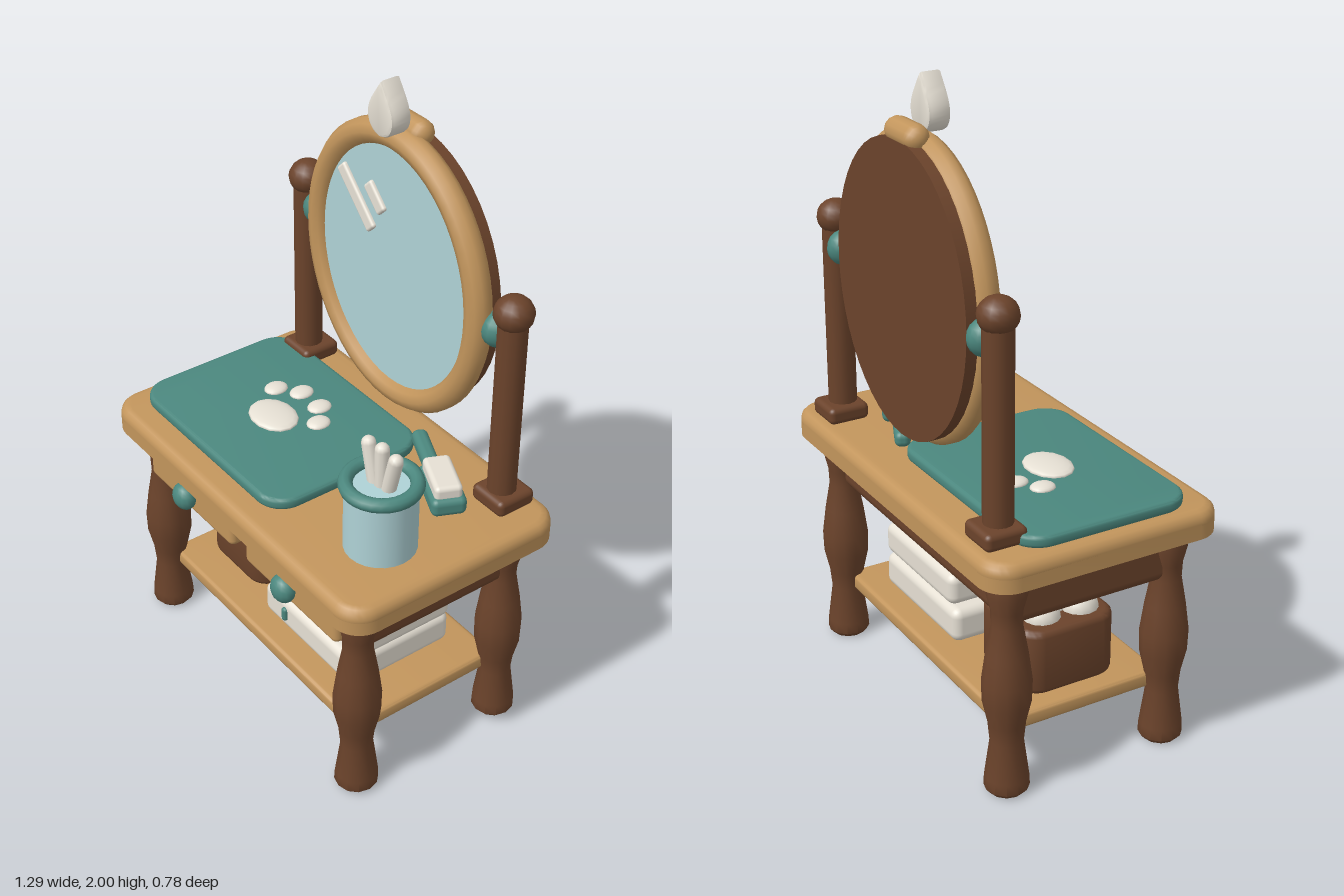
import * as THREE from 'three';
import { toCreasedNormals } from 'three/addons/utils/BufferGeometryUtils.js';
import { RoundedBoxGeometry } from 'three/addons/geometries/RoundedBoxGeometry.js';

const mat = (color) => new THREE.MeshStandardMaterial({ color });
const OAK = mat(0xc2955c), WALNUT = mat(0x6b432b), TEAL = mat(0x4b877e);
const CREAM = mat(0xe6e0d4), GLASS = mat(0xafd2d6);

export function createModel() {
  const root = new THREE.Group();
  root.name = 'vanityTable';

  const add = (name, geo, material, x = 0, y = 0, z = 0, parent = root) => {
    const mesh = new THREE.Mesh(geo, material);
    mesh.name = name;
    mesh.position.set(x, y, z);
    parent.add(mesh);
    return mesh;
  };
  const box = (w, h, d, r) => new RoundedBoxGeometry(w, h, d, 3, r);
  const ball = (rx, ry = rx, rz = rx) => new THREE.SphereGeometry(1, 14, 10).scale(rx, ry, rz);

  // Flat slab standing on y = 0 with rounded plan corners and an optional bevel
  const slab = (w, d, h, r, bevel = 0) => {
    const a = w / 2 - bevel, b = d / 2 - bevel, q = Math.max(r - bevel, 0.005);
    const s = new THREE.Shape();
    s.absarc(a - q, b - q, q, 0, Math.PI / 2);
    s.absarc(q - a, b - q, q, Math.PI / 2, Math.PI);
    s.absarc(q - a, q - b, q, Math.PI, Math.PI * 1.5);
    s.absarc(a - q, q - b, q, Math.PI * 1.5, Math.PI * 2);
    s.closePath();
    const geo = new THREE.ExtrudeGeometry(s, {
      depth: h - 2 * bevel, bevelEnabled: bevel > 0, bevelSize: bevel,
      bevelThickness: bevel, bevelSegments: 3, curveSegments: 6,
    });
    geo.translate(0, 0, bevel).rotateX(-Math.PI / 2);
    return toCreasedNormals(geo, 0.7);
  };

  // Tabletop: square lower edge, rounded upper edge
  add('tabletopLower', slab(1.29, 0.775, 0.05, 0.09), OAK, 0, 0.72);
  add('tabletopUpper', slab(1.29, 0.775, 0.07, 0.09, 0.03), OAK, 0, 0.735);

  // Apron and two drawers
  add('apron', box(1.1, 0.18, 0.57, 0.035), WALNUT, 0, 0.64, 0);
  for (const s of [-1, 1]) {
    add('drawerFront', box(0.465, 0.13, 0.07, 0.02), OAK, s * 0.267, 0.64, 0.303);
    add('drawerKnob', ball(0.045, 0.045, 0.035), TEAL, s * 0.267, 0.64, 0.357);
  }

  // Turned legs
  const legProfile = [[0, 0], [0.055, 0], [0.068, 0.015], [0.066, 0.05], [0.05, 0.17],
    [0.056, 0.23], [0.072, 0.3], [0.074, 0.37], [0.062, 0.46], [0.046, 0.55],
    [0.048, 0.6], [0.06, 0.65], [0.056, 0.7], [0.05, 0.73], [0, 0.73]]
    .map(([r, y]) => new THREE.Vector2(r, y));
  const legGeo = toCreasedNormals(new THREE.LatheGeometry(legProfile, 12), 0.8);
  for (const x of [-0.52, 0.52]) for (const z of [-0.272, 0.272]) add('leg', legGeo, WALNUT, x, 0, z);

  // Lower shelf
  add('shelf', slab(1.02, 0.54, 0.05, 0.04, 0.012), OAK, 0, 0.175);

  // Basket with round puffs
  add('basket', slab(0.31, 0.32, 0.21, 0.07, 0.02), WALNUT, -0.3, 0.223, 0);
  for (const [x, z, r] of [[-0.365, 0.07, 0.06], [-0.25, 0.07, 0.055], [-0.36, -0.06, 0.06],
    [-0.25, -0.06, 0.055], [-0.305, 0, 0.065]]) {
    add('puff', ball(r), CREAM, x, 0.43, z);
  }

  // Stacked boxes with small tags
  add('lowerBox', box(0.465, 0.115, 0.39, 0.03), CREAM, 0.153, 0.28, 0);
  add('upperBox', box(0.44, 0.107, 0.36, 0.03), CREAM, 0.175, 0.388, -0.01);
  const tagGeo = new THREE.CapsuleGeometry(0.012, 0.028, 4, 8);
  add('boxTag', tagGeo, TEAL, 0.04, 0.285, 0.195);
  add('boxTag', tagGeo, TEAL, 0.058, 0.395, 0.17);

  // Desk mat with a paw decoration
  add('deskMat', slab(0.755, 0.565, 0.038, 0.09, 0.012), TEAL, -0.223, 0.803, 0.022);
  add('pawPad', ball(0.092, 0.017, 0.072), CREAM, -0.223, 0.842, 0.045);
  for (const s of [-1, 1]) {
    add('pawToe', ball(0.034, 0.015, 0.04), CREAM, -0.223 + s * 0.115, 0.842, -0.045);
    add('pawToe', ball(0.034, 0.015, 0.041), CREAM, -0.223 + s * 0.048, 0.842, -0.097);
  }

  // Mirror posts with ball tops and pivots
  for (const s of [-1, 1]) {
    add('postBase', box(0.135, 0.055, 0.135, 0.018), WALNUT, s * 0.485, 0.832, -0.287);
    add('post', new THREE.CylinderGeometry(0.045, 0.045, 0.6, 12), WALNUT, s * 0.485, 1.14, -0.28);
    add('postBall', ball(0.06, 0.055, 0.06), WALNUT, s * 0.485, 1.467, -0.28);
    add('mirrorPivot', ball(0.048, 0.056, 0.056), TEAL, s * 0.425, 1.385, -0.283);
  }

  // Oval mirror: frame tube, glass and back board
  const mirror = new THREE.Group();
  mirror.name = 'mirror';
  mirror.position.set(0, 1.385, -0.25);
  root.add(mirror);
  class Oval extends THREE.Curve {
    getPoint(t, target = new THREE.Vector3()) {
      return target.set(0.372 * Math.cos(t * 2 * Math.PI), 0.427 * Math.sin(t * 2 * Math.PI), 0);
    }
  }
  add('mirrorFrame', new THREE.TubeGeometry(new Oval(), 56, 0.041, 10, true), OAK, 0, 0, 0, mirror);
  const disc = (rx, ry, h) => new THREE.CylinderGeometry(1, 1, h, 48).rotateX(Math.PI / 2).scale(rx, ry, 1);
  add('mirrorGlass', disc(0.36, 0.415, 0.03), GLASS, 0, 0, 0, mirror);
  add('mirrorBack', disc(0.388, 0.445, 0.05), WALNUT, 0, 0, -0.046, mirror);

  // Light streaks on the glass
  for (const [x, y, len] of [[-0.168, 0.168, 0.215], [-0.08, 0.205, 0.1]]) {
    const streak = add('glassStreak', box(len, 0.046, 0.02, 0.009), CREAM, x, y, 0.018, mirror);
    streak.rotation.z = -Math.PI / 4;
  }

  // Crest and drop-shaped finial
  add('crest', new THREE.CapsuleGeometry(0.04, 0.1, 6, 12).rotateZ(Math.PI / 2), OAK, 0, 1.838, -0.285);
  const drop = new THREE.Shape();
  drop.moveTo(0, 0.155);
  drop.bezierCurveTo(0.02, 0.12, 0.05, 0.09, 0.048, 0.055);
  drop.bezierCurveTo(0.046, 0.025, 0.025, 0.01, 0, 0.008);
  drop.bezierCurveTo(-0.025, 0.01, -0.046, 0.025, -0.048, 0.055);
  drop.bezierCurveTo(-0.05, 0.09, -0.02, 0.12, 0, 0.155);
  const dropGeo = new THREE.ExtrudeGeometry(drop, {
    depth: 0.05, bevelSize: 0.009, bevelThickness: 0.01, bevelSegments: 2, curveSegments: 8,
  });
  add('finial', toCreasedNormals(dropGeo, 0.7), CREAM, 0, 1.836, -0.236);

  // Cup with rim and sticks
  const cup = new THREE.Group();
  cup.name = 'cup';
  cup.position.set(0.427, 0.803, 0.125);
  root.add(cup);
  add('cupBody', new THREE.CylinderGeometry(0.109, 0.109, 0.22, 24), GLASS, 0, 0.11, 0, cup);
  add('cupRim', new THREE.TorusGeometry(0.103, 0.022, 10, 28).rotateX(Math.PI / 2), TEAL, 0, 0.224, 0, cup);
  for (const s of [-1, 0, 1]) {
    const stick = add('stick', new THREE.CapsuleGeometry(0.022, 0.17, 4, 10), CREAM, s * 0.036, s ? 0.25 : 0.255, s * -0.004, cup);
    stick.rotation.z = -s * 0.25;
  }

  // Hairbrush lying on the table
  const brush = new THREE.Group();
  brush.name = 'hairbrush';
  brush.position.set(0.385, 0.855, -0.135);
  brush.rotation.y = -0.43;
  root.add(brush);
  add('brushHandle', box(0.22, 0.05, 0.05, 0.02), TEAL, -0.175, -0.005, 0, brush);
  add('brushHead', box(0.195, 0.06, 0.108, 0.02), TEAL, 0, 0, 0, brush);
  add('brushBristles', box(0.165, 0.05, 0.085, 0.015), CREAM, 0, 0.042, 0, brush);

  return root;
}
